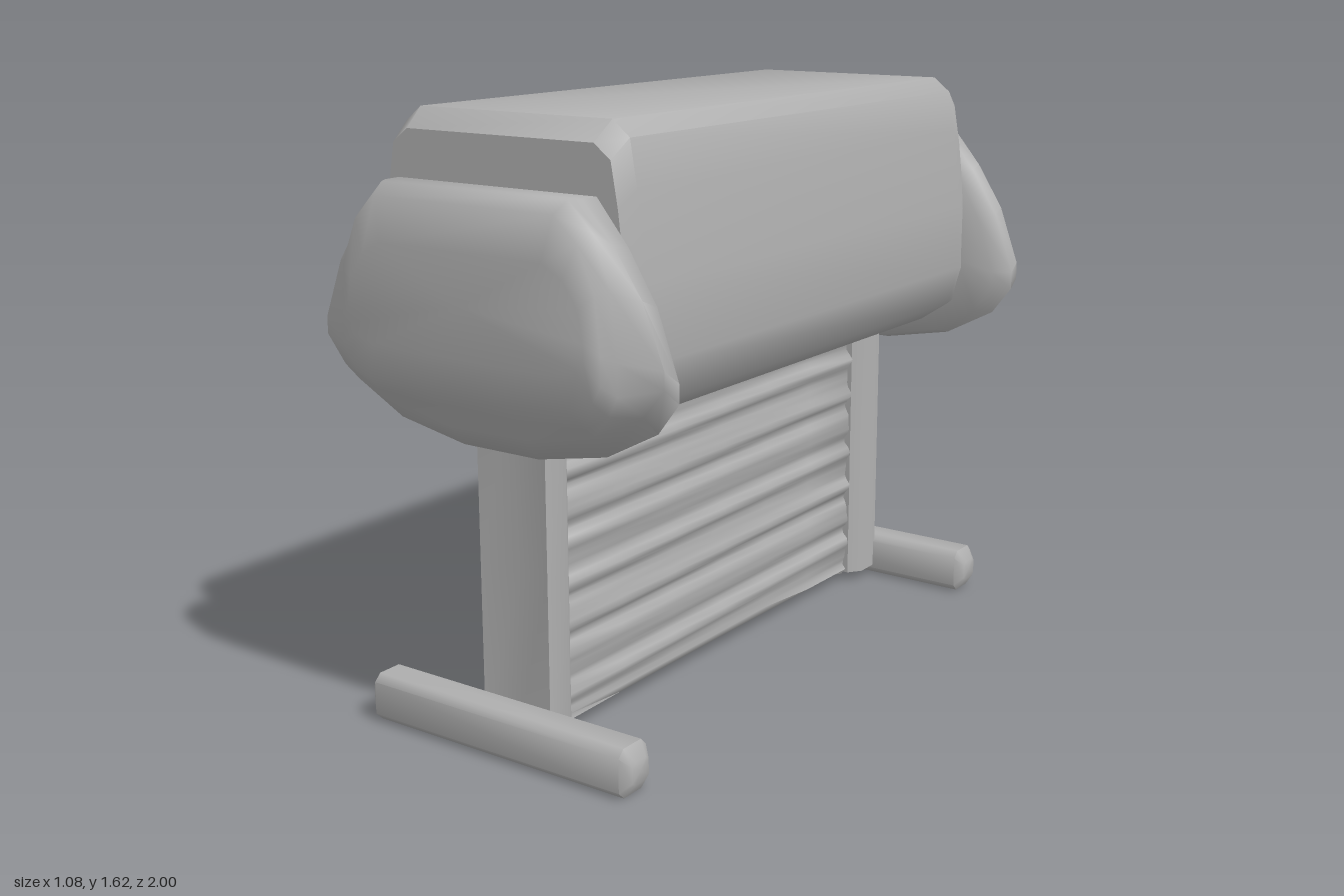
import * as THREE from 'three';
import { toCreasedNormals } from 'three/addons/utils/BufferGeometryUtils.js';

const grey = new THREE.MeshStandardMaterial({ color: 0xb0b0b0 });
grey.name = 'plain grey';

// Half outlines, bottom to top, on the +x side
const bodyHalf = [[0.15, 0.88], [0.28, 0.89], [0.37, 0.95], [0.4, 1.06], [0.395, 1.25], [0.37, 1.47], [0.35, 1.59], [0.3, 1.63]];
const capHalf = [[0.12, 0.8], [0.33, 0.84], [0.48, 0.92], [0.54, 1.0], [0.54, 1.05], [0.48, 1.22], [0.4, 1.35], [0.31, 1.46]];
const faceHalf = [[0.12, 0.92], [0.33, 0.93], [0.4, 0.97], [0.425, 1.02], [0.425, 1.1], [0.41, 1.26], [0.36, 1.39], [0.29, 1.46]];
const panelHalf = Array.from({ length: 57 }, (_, i) => [0.07, 0.05 + 0.85 * i / 56]);
const footHalf = [[0.035, 0.01], [0.055, 0.03], [0.055, 0.12], [0.035, 0.14]];
const plateHalf = [[0.3, 1.03], [0.33, 1.08], [0.22, 1.35]];

// Mirror a half outline into a closed counter-clockwise ring at depth z
function ring(half, z, sx = 1, lo = half[0][1], hi = half[half.length - 1][1]) {
  const y0 = half[0][1], y1 = half[half.length - 1][1];
  const right = half.map(([x, y]) => [x * sx, lo + (hi - lo) * (y - y0) / (y1 - y0), z]);
  const left = right.map(([x, y]) => [-x, y, z]).reverse();
  return [...right, ...left];
}

// Skin rings ordered from back to front and close both ends
function loft(rings, crease = 0.7) {
  const n = rings[0].length, last = rings.length - 1;
  const pos = rings.flat(2), index = [];
  for (let i = 0; i < last; i++) {
    for (let j = 0; j < n; j++) {
      const a = i * n + j, b = i * n + (j + 1) % n;
      index.push(a, b, b + n, a, b + n, a + n);
    }
  }
  for (const end of [0, last]) {
    const c = pos.length / 3;
    const ys = rings[end].map((p) => p[1]);
    pos.push(0, (Math.min(...ys) + Math.max(...ys)) / 2, rings[end][0][2]);
    for (let j = 0; j < n; j++) {
      const a = end * n + j, b = end * n + (j + 1) % n;
      index.push(c, ...(end ? [a, b] : [b, a]));
    }
  }
  const g = new THREE.BufferGeometry();
  g.setAttribute('position', new THREE.Float32BufferAttribute(pos, 3));
  g.setIndex(index);
  return toCreasedNormals(g, crease);
}

function add(parent, name, geometry) {
  const mesh = new THREE.Mesh(geometry, grey);
  mesh.name = name;
  parent.add(mesh);
}

// Wavy horizontal folds that drift slightly along the length
function panelRing(z) {
  const half = panelHalf.map(([x, y]) => [
    x + 0.008 * Math.sin(y * 62 + 0.5 * Math.sin(z * 3)) + 0.005 * Math.sin(y * 105 + z * 2.5), y]);
  return ring(half, z);
}

// Upright post, narrower inside and shallowly dented outside, plus a crossbar foot
function makeStand() {
  const stand = new THREE.Group();
  const post = new THREE.BoxGeometry(0.22, 0.88, 0.12, 2, 2, 2);
  const p = post.attributes.position;
  for (let i = 0; i < p.count; i++) {
    const x = p.getX(i), z = p.getZ(i);
    if (z < -0.05) p.setX(i, x * 0.73);
    else if (z < 0.05) p.setZ(i, -0.02);
    else if (Math.abs(x) < 0.01 && Math.abs(p.getY(i)) < 0.01) p.setZ(i, 0.035);
  }
  post.translate(0, 0.48, 0.77);
  add(stand, 'post', toCreasedNormals(post, 0.8));

  const toe = new THREE.CylinderGeometry(0.06, 0.035, 0.05, 8);
  toe.scale(1, 1, 0.65);
  toe.translate(0, 0.04, 0.75);
  add(stand, 'postToe', toe);

  const bar = loft([
    ring(footHalf, -0.43, 0.6, 0.045, 0.105),
    ring(footHalf, -0.405),
    ring(footHalf, 0.405),
    ring(footHalf, 0.43, 0.6, 0.045, 0.105),
  ], 0.9);
  bar.rotateY(Math.PI / 2);
  bar.translate(0, 0, 0.877);
  add(stand, 'footBar', bar);
  return stand;
}

export function createModel() {
  const model = new THREE.Group();
  model.name = 'cushionedStand';

  // Long padded body
  add(model, 'body', loft([
    ring(bodyHalf, -0.85, 0.97, 0.89, 1.58),
    ring(bodyHalf, -0.79),
    ring(bodyHalf, 0.79),
    ring(bodyHalf, 0.85, 0.97, 0.89, 1.58),
  ], 0.8));

  // Flanged end caps: the front one has a broad padded face
  add(model, 'frontCap', loft([
    ring(capHalf, 0.82, 0.74, 0.88, 1.4),
    ring(capHalf, 0.84, 0.9, 0.805, 1.44),
    ring(capHalf, 0.865, 1, 0.805, 1.46),
    ring(capHalf, 0.915, 0.99, 0.865, 1.46),
    ring(faceHalf, 0.945),
    ring(faceHalf, 0.985, 0.96, 0.965, 1.43),
    ring(faceHalf, 1.0, 0.87, 1.06, 1.32),
  ], 1.2));
  add(model, 'backCap', loft([
    ring(capHalf, -0.965, 0.66, 0.95, 1.36),
    ring(capHalf, -0.945, 0.82, 0.88, 1.45),
    ring(capHalf, -0.915, 0.99, 0.83, 1.47),
    ring(capHalf, -0.87, 1, 0.8, 1.46),
    ring(capHalf, -0.845, 0.9, 0.81, 1.44),
    ring(capHalf, -0.82, 0.74, 0.88, 1.4),
  ], 1.2));

  // Raised plate on the back cap, sloping out at the bottom
  add(model, 'backPlate', loft([
    ring(plateHalf, -1.0),
    ring(plateHalf, -0.955, 1.03, 0.93, 1.355),
  ], 0.8));

  // Folded panel between the posts
  add(model, 'foldedPanel', loft([-0.72, -0.48, -0.24, 0, 0.24, 0.48, 0.72].map(panelRing), 1.8));

  // Matching stands at both ends
  for (const [name, turn] of [['frontStand', 0], ['backStand', Math.PI]]) {
    const stand = makeStand();
    stand.name = name;
    stand.rotation.y = turn;
    model.add(stand);
  }
  return model;
}
